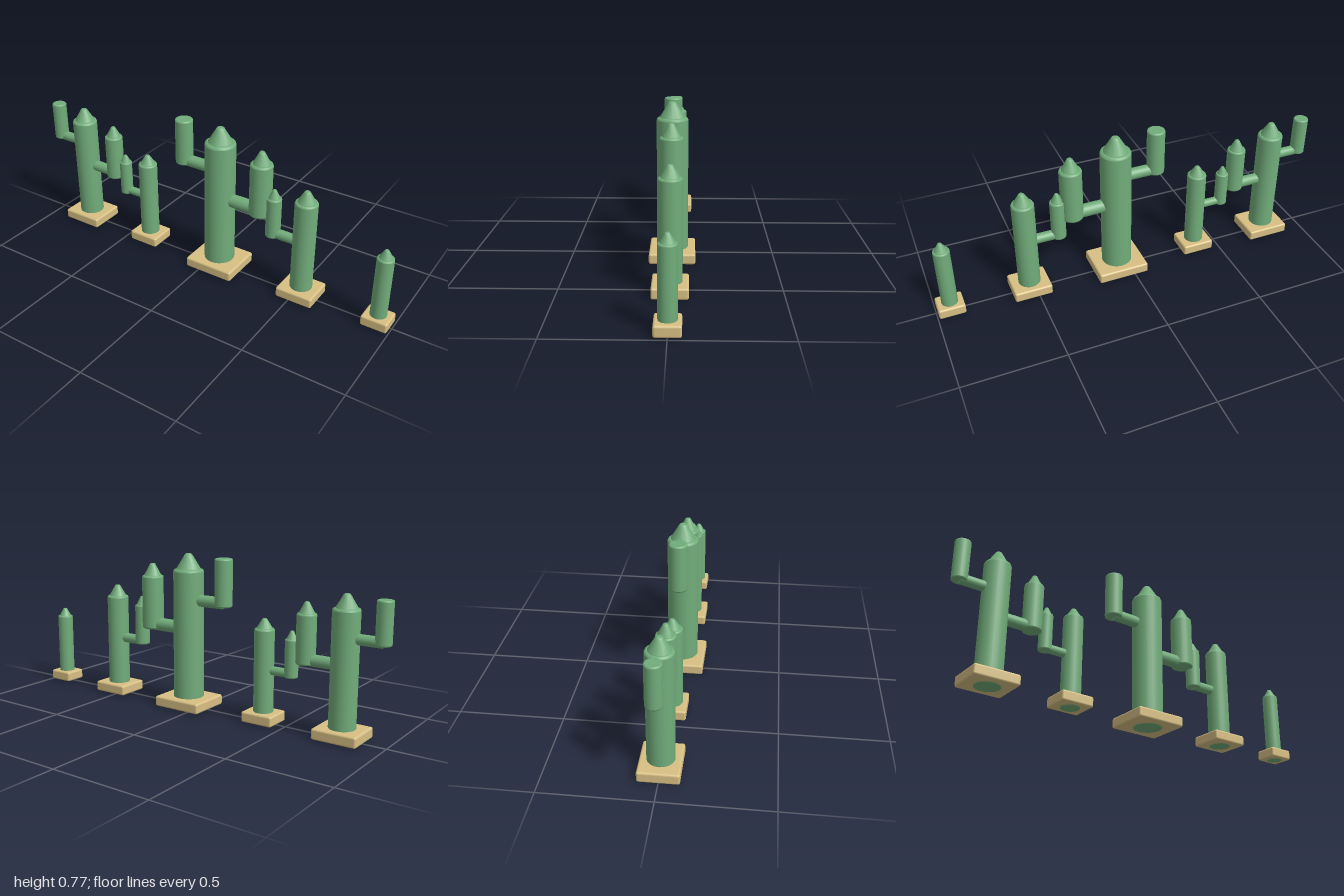
import * as THREE from 'three';
import { RoundedBoxGeometry } from 'three/addons/geometries/RoundedBoxGeometry.js';

const green = new THREE.MeshStandardMaterial({ color: 0x72ad7b });
const sand = new THREE.MeshStandardMaterial({ color: 0xd8c084 });

// Round column with softened rims, standing on y = 0
function column(r, height, name) {
  const b = r * 0.16, c = b * 0.3;
  const profile = [
    [0, 0], [r - b - 0.001, 0], [r - b, 0], [r - c, c], [r, b], [r, b + 0.001],
    [r, height - b - 0.001], [r, height - b], [r - c, height - c],
    [r - b, height], [r - b - 0.001, height], [0, height],
  ].map(([x, y]) => new THREE.Vector2(x, y));
  const mesh = new THREE.Mesh(new THREE.LatheGeometry(profile, 24), green);
  mesh.name = name;
  return mesh;
}

// Blunt cone that closes a column
function tip(r, height) {
  const profile = [
    [0.8, -0.05], [0.78, 0.05], [0.32, 0.82], [0.26, 0.93], [0.17, 1], [0, 1],
  ].map(([x, y]) => new THREE.Vector2(x * r, y * height));
  const mesh = new THREE.Mesh(new THREE.LatheGeometry(profile, 12), green);
  mesh.name = 'tip';
  return mesh;
}

// Upright stem from y0 to y1, with a pointed tip when top is given
function stem(name, { x, r, y0, y1, top }) {
  const group = new THREE.Group();
  group.name = name;
  group.add(column(r, y1 - y0, name + 'Column'));
  if (top) {
    const cone = tip(r, top - y1);
    cone.position.y = y1 - y0;
    group.add(cone);
  }
  group.position.set(x, y0, 0);
  return group;
}

// Horizontal branch from the trunk axis to the arm axis
function branch(xa, xb, y, r) {
  const mesh = column(r, Math.abs(xb - xa), 'branch');
  mesh.rotation.z = -Math.PI / 2;
  mesh.position.set(Math.min(xa, xb), y, 0);
  return mesh;
}

function cactus({ x, w, d, r, y1, top, arms = [] }) {
  const group = new THREE.Group();
  group.name = 'cactus';
  const base = new THREE.Mesh(new RoundedBoxGeometry(w, 0.052, d, 3, 0.01), sand);
  base.name = 'sandBase';
  base.position.set(x, 0.029, 0);
  group.add(base, stem('trunk', { x, r, y0: 0, y1, top }));
  for (const arm of arms) {
    group.add(stem('arm', arm), branch(x, arm.x, arm.by, arm.br));
  }
  return group;
}

export function createModel() {
  const model = new THREE.Group();
  model.name = 'cactusRow';
  const plants = [
    { x: -0.788, w: 0.218, d: 0.187, r: 0.063, y1: 0.597, top: 0.66, arms: [
      { x: -0.963, r: 0.037, y0: 0.452, y1: 0.65, by: 0.465, br: 0.025 },
      { x: -0.596, r: 0.046, y0: 0.318, y1: 0.553, top: 0.605, by: 0.34, br: 0.028 },
    ] },
    { x: -0.378, w: 0.164, d: 0.14, r: 0.048, y1: 0.457, top: 0.503, arms: [
      { x: -0.524, r: 0.032, y0: 0.243, y1: 0.425, top: 0.463, by: 0.26, br: 0.021 },
    ] },
    { x: 0.062, w: 0.26, d: 0.225, r: 0.076, y1: 0.7, top: 0.775, arms: [
      { x: -0.146, r: 0.044, y0: 0.531, y1: 0.765, by: 0.548, br: 0.029 },
      { x: 0.289, r: 0.055, y0: 0.377, y1: 0.65, top: 0.711, by: 0.4, br: 0.033 },
    ] },
    { x: 0.529, w: 0.19, d: 0.166, r: 0.055, y1: 0.523, top: 0.579, arms: [
      { x: 0.362, r: 0.037, y0: 0.283, y1: 0.49, top: 0.534, by: 0.3, br: 0.025 },
    ] },
    { x: 0.928, w: 0.131, d: 0.114, r: 0.04, y1: 0.369, top: 0.41 },
  ];
  for (const plant of plants) model.add(cactus(plant));
  return model;
}
